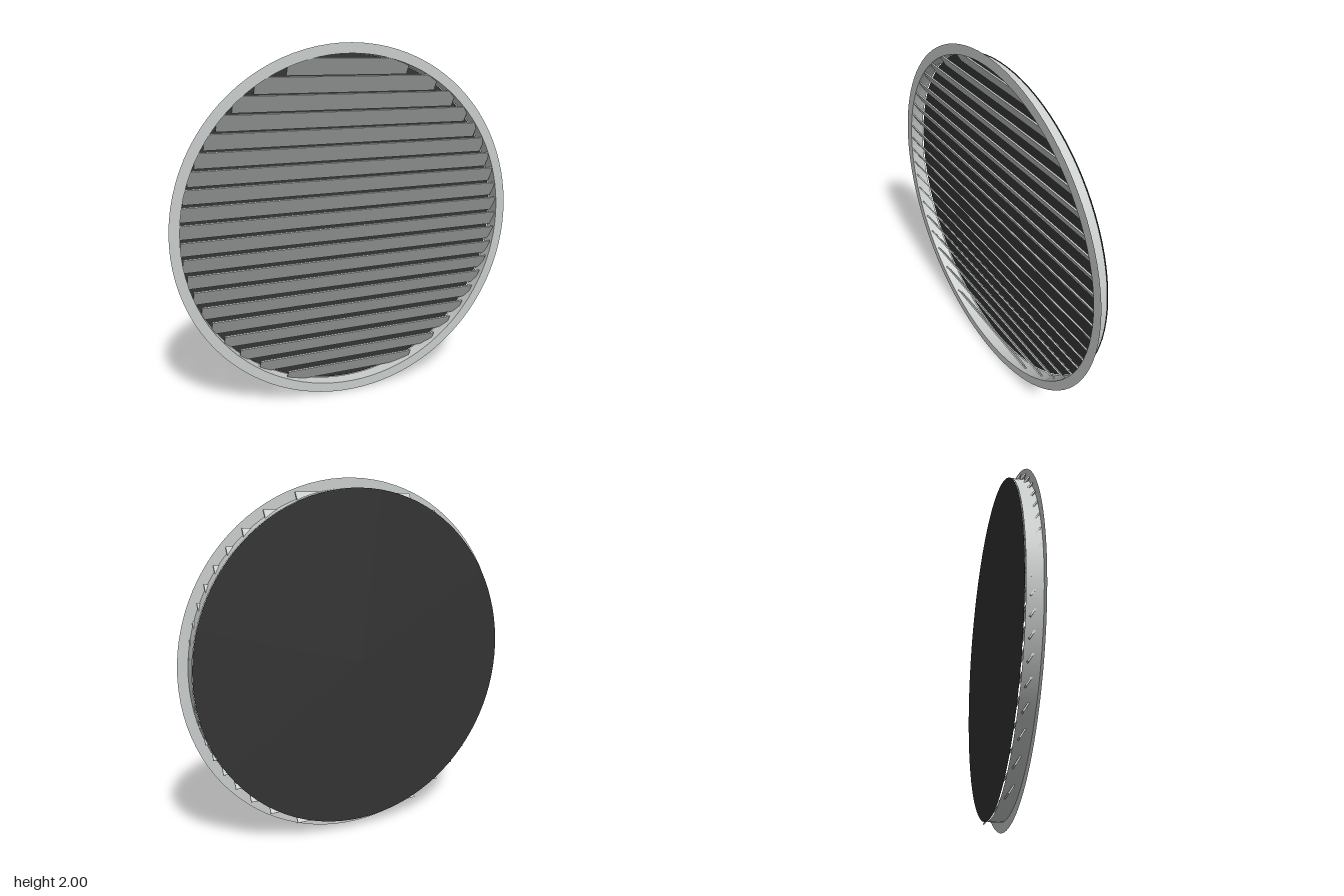
import * as THREE from 'three';

export function createModel() {
  const model = new THREE.Group();
  const metal = new THREE.MeshStandardMaterial({ color: 0xc8cccb, side: THREE.DoubleSide });
  metal.name = 'light grey metal';
  const dark = new THREE.MeshStandardMaterial({ color: 0x333333, side: THREE.DoubleSide });
  dark.name = 'dark mesh';

  const R = 0.945;       // duct radius
  const FRONT = 0.043;   // flange plane
  const SEGMENTS = 96;

  const add = (name, geometry, material, y, z) => {
    const mesh = new THREE.Mesh(geometry, material);
    mesh.name = name;
    mesh.position.set(0, y, z);
    model.add(mesh);
    return mesh;
  };

  // Flat flange around the front
  add('flange', new THREE.RingGeometry(R, 1, SEGMENTS), metal, 1, FRONT);

  // Short open duct behind the flange
  const depth = 0.08;
  const duct = new THREE.CylinderGeometry(R, R, depth, SEGMENTS, 1, true).rotateX(Math.PI / 2);
  add('duct', duct, metal, 1, FRONT - depth / 2);

  // Dark backing disc, just clear of the duct
  const disc = new THREE.CircleGeometry(R, SEGMENTS).rotateY(Math.PI);
  add('backDisc', disc, dark, 1, -0.043);

  // Tilted slats, each cut to the chord at its own height
  const count = 20, pitch = 0.0914;
  for (let i = 0; i < count; i++) {
    const y = 0.009 + (i - (count - 1) / 2) * pitch;
    const width = 2 * Math.sqrt(0.943 ** 2 - y * y);
    const slat = add('slat', new THREE.BoxGeometry(width, 0.102, 0.008), metal, 1 + y, 0.01);
    slat.rotation.x = THREE.MathUtils.degToRad(32);
  }

  return model;
}
